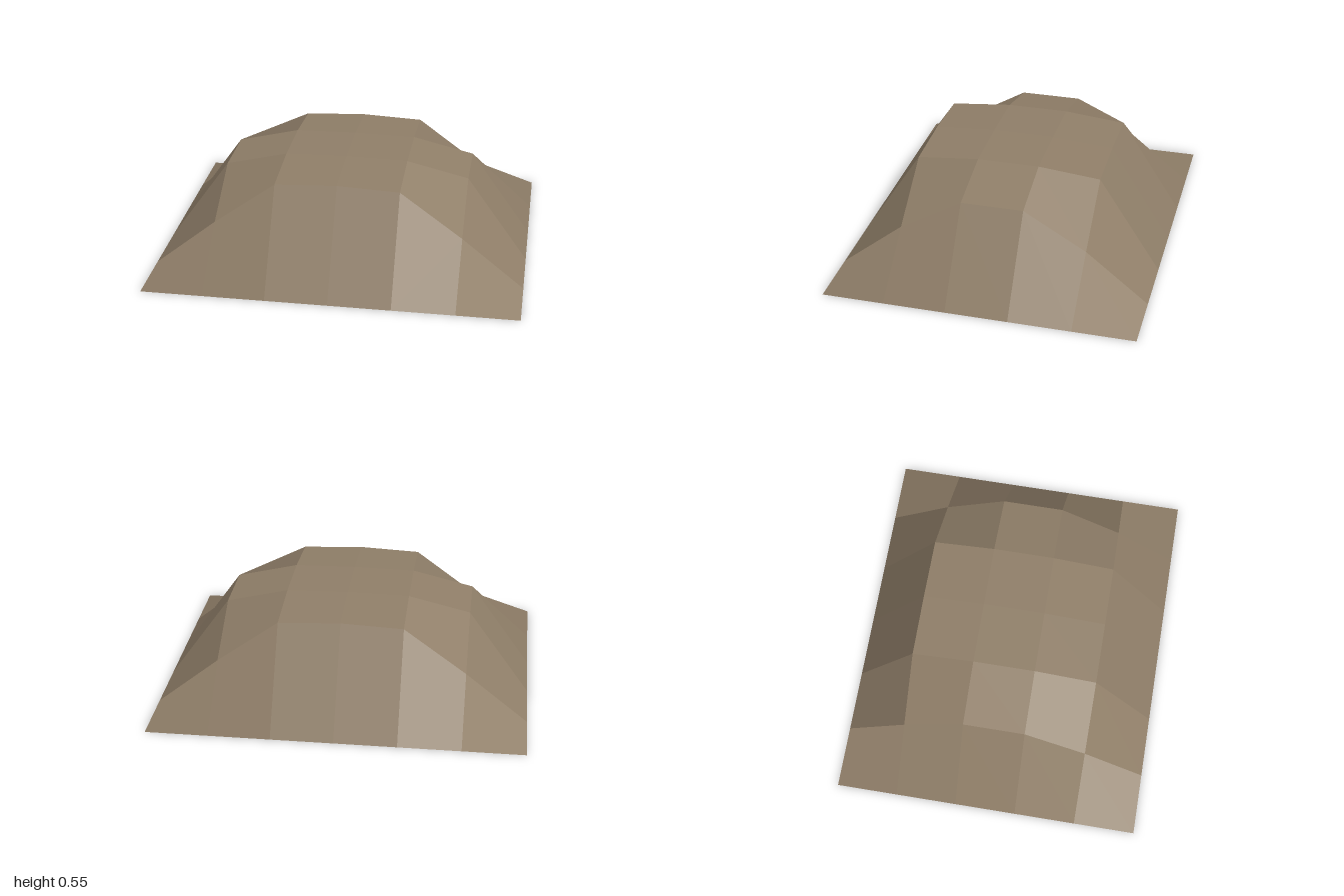
import * as THREE from 'three';

export function createModel() {
  const group = new THREE.Group();
  group.name = 'mound';
  const earth = new THREE.MeshStandardMaterial({ color: 0x8f7e68, side: THREE.DoubleSide });
  earth.name = 'earth brown';

  // Heights by distance from the edge; the mound is mirrored in x and z
  const cols = 6, rows = 5, halfX = 1, halfZ = 0.837;
  const quarter = [
    [0, 0, 0, 0],
    [0, 0.27, 0.515, 0.53],
    [0, 0.467, 0.547, 0.553],
  ];
  const point = (i, j) => new THREE.Vector3(
    -halfX + (2 * halfX * i) / cols,
    quarter[Math.min(j, rows - j)][Math.min(i, cols - i)],
    -halfZ + (2 * halfZ * j) / rows,
  );

  // Each grid cell is one faceted panel with a single normal, all split along the same diagonal
  const positions = [], normals = [];
  for (let j = 0; j < rows; j++) {
    for (let i = 0; i < cols; i++) {
      const a = point(i, j), b = point(i, j + 1), c = point(i + 1, j + 1), d = point(i + 1, j);
      const n = c.clone().sub(a).cross(d.clone().sub(b)).normalize();
      for (const p of [a, b, d, b, c, d]) {
        positions.push(p.x, p.y, p.z);
        normals.push(n.x, n.y, n.z);
      }
    }
  }

  // Open shell without a floor
  const geometry = new THREE.BufferGeometry();
  geometry.setAttribute('position', new THREE.Float32BufferAttribute(positions, 3));
  geometry.setAttribute('normal', new THREE.Float32BufferAttribute(normals, 3));
  const shell = new THREE.Mesh(geometry, earth);
  shell.name = 'moundShell';
  group.add(shell);
  return group;
}
